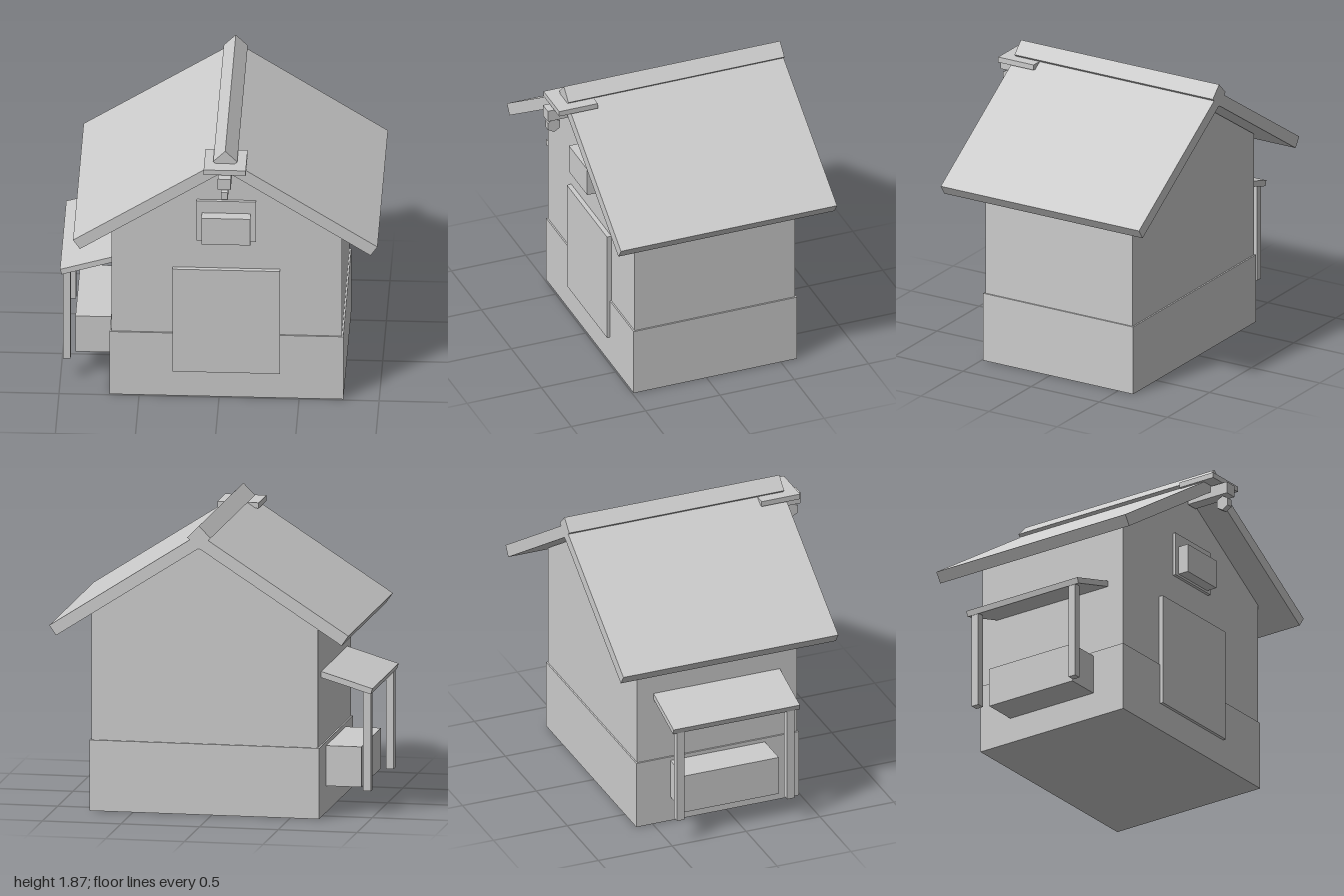
import * as THREE from 'three';

export function createModel() {
  const model = new THREE.Group();
  const grey = new THREE.MeshStandardMaterial({ color: 0xcccccc });
  grey.name = 'plain grey';

  const add = (name, geometry) => {
    const mesh = new THREE.Mesh(geometry, grey);
    mesh.name = name;
    model.add(mesh);
    return mesh;
  };
  // Box given by its extents on each axis
  const box = (name, [x0, x1], [y0, y1], [z0, z1]) => {
    const g = new THREE.BoxGeometry(x1 - x0, y1 - y0, z1 - z0);
    return add(name, g.translate((x0 + x1) / 2, (y0 + y1) / 2, (z0 + z1) / 2));
  };
  // Front outline extruded from z0 to z1
  const prism = (name, points, z0, z1) => {
    const shape = new THREE.Shape(points.map(([x, y]) => new THREE.Vector2(x, y)));
    const g = new THREE.ExtrudeGeometry(shape, { depth: z1 - z0, bevelEnabled: false });
    return add(name, g.translate(0, 0, z0));
  };

  const cx = 0.046; // ridge line

  // Plinth and gabled walls
  box('plinth', [-0.684, 0.776], [0, 0.45], [-0.61, 0.49]);
  prism('walls', [
    [cx - 0.72, 0.44], [cx + 0.72, 0.44], [cx + 0.72, 1.26], [cx, 1.724], [cx - 0.72, 1.26],
  ], -0.6, 0.48);

  // Two roof slabs meeting at the ridge
  for (const s of [-1, 1]) {
    prism(s < 0 ? 'rightRoofSlab' : 'leftRoofSlab', [
      [cx, 1.728], [cx + s * 0.908, 1.142], [cx + s * 0.951, 1.205], [cx, 1.818],
    ], -0.79, 0.665);
  }

  // Ridge beam set on its corner
  prism('ridgeBeam', [
    [cx, 1.72], [cx + 0.075, 1.795], [cx, 1.87], [cx - 0.075, 1.795],
  ], -0.79, 0.665);

  // Hoist over the front gable
  box('hoistPlate', [-0.085, 0.178], [1.746, 1.781], [0.49, 0.75]);
  box('hoistBeam', [0.005, 0.086], [1.664, 1.74], [0.49, 0.79]);
  const pulley = add('pulley', new THREE.CylinderGeometry(0.048, 0.048, 0.042, 6, 1, false, Math.PI / 2).toNonIndexed());
  pulley.geometry.computeVertexNormals();
  pulley.rotation.z = Math.PI / 2;
  pulley.position.set(cx, 1.615, 0.74);

  // Door and loft hatch
  box('door', [-0.29, 0.38], [0.184, 0.922], [0.45, 0.51]);
  box('hatchFrame', [-0.14, 0.231], [1.125, 1.413], [0.46, 0.5]);
  box('hatchBox', [-0.107, 0.198], [1.14, 1.328], [0.48, 0.57]);

  // Side shelter with sloped roof, posts and a chest
  prism('shelterRoof', [
    [-0.66, 0.92], [-1, 0.818], [-0.989, 0.782], [-0.66, 0.881],
  ], -0.49, 0.365);
  for (const z of [-0.435, 0.31]) {
    box('shelterPost', [-0.984, -0.935], [0.16, 0.79], [z - 0.025, z + 0.025]);
  }
  box('chest', [-0.908, -0.67], [0.168, 0.424], [-0.38, 0.26]);

  return model;
}
